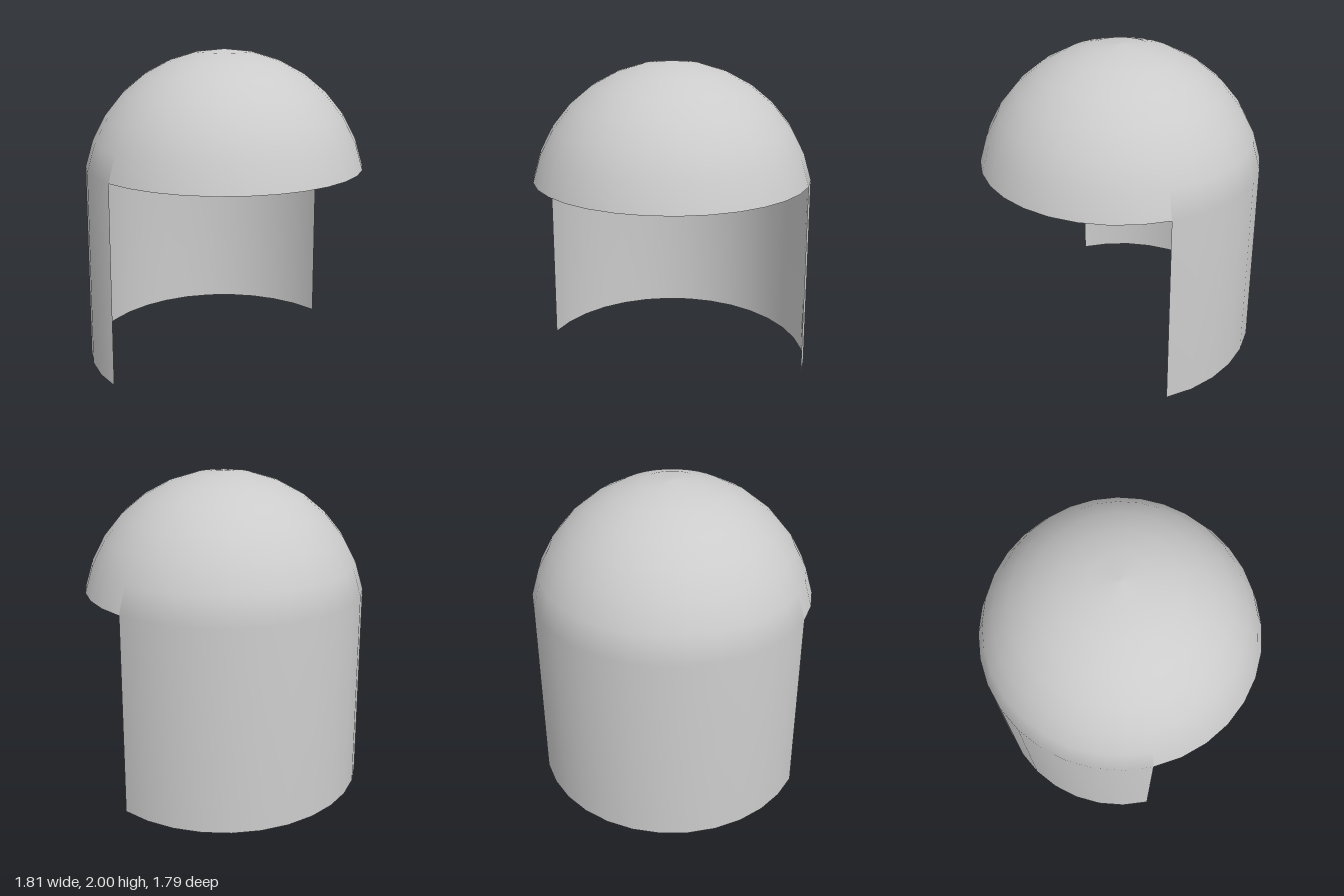
import * as THREE from 'three';

const RADIUS = 0.903;
const CENTRE_Y = 2 - RADIUS;
const STEP = Math.PI / 16; // 32 sides around, 16 rings pole to pole
const Z_OFFSET = 0.009;

// Dome profile from the rim (one ring above the equator) up to the pole
function domeProfile() {
  const points = [];
  for (let ring = 7; ring >= 0; ring--) {
    const a = ring * STEP;
    points.push(new THREE.Vector2(RADIUS * Math.sin(a), CENTRE_Y + RADIUS * Math.cos(a)));
  }
  return points;
}

export function createModel() {
  const group = new THREE.Group();
  group.name = 'domedShelter';
  const material = new THREE.MeshStandardMaterial({ color: 0xcccccc, side: THREE.DoubleSide });

  function addHalf(name, profile, start) {
    const mesh = new THREE.Mesh(new THREE.LatheGeometry(profile, 16, start, Math.PI), material);
    mesh.name = name;
    mesh.position.z = Z_OFFSET;
    group.add(mesh);
  }

  // Front half: overhanging hood only
  addHalf('frontHood', domeProfile(), -Math.PI / 2);
  // Back half: slightly flared wall running smoothly into the dome
  addHalf('backWallAndDome', [new THREE.Vector2(RADIUS, 0), ...domeProfile()], Math.PI / 2);

  return group;
}
